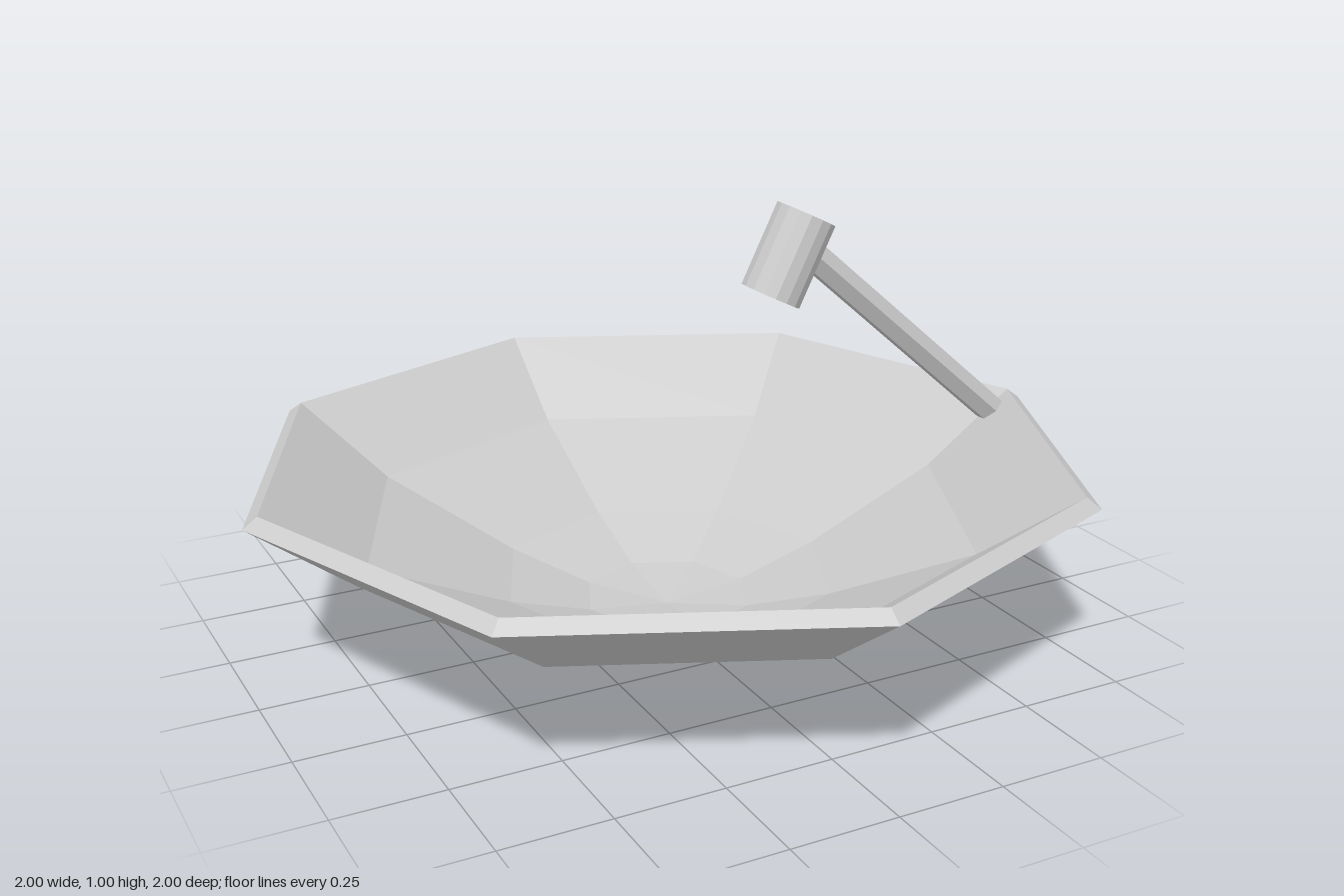
import * as THREE from 'three';

const material = new THREE.MeshStandardMaterial({ color: 0xcccccc, flatShading: true });

// Cylinder whose ends sit on two given points
function rod(name, from, to, radius, sides) {
  const a = new THREE.Vector3(...from), b = new THREE.Vector3(...to);
  const axis = b.clone().sub(a);
  const mesh = new THREE.Mesh(new THREE.CylinderGeometry(radius, radius, axis.length(), sides), material);
  mesh.name = name;
  mesh.position.copy(a).add(b).multiplyScalar(0.5);
  mesh.quaternion.setFromUnitVectors(new THREE.Vector3(0, 1, 0), axis.normalize());
  return mesh;
}

export function createModel() {
  const group = new THREE.Group();
  group.name = 'satelliteDish';

  // Eight-sided bowl: outer skin up, over the bevelled rim, inner skin down
  const profile = [
    [0, 0], [0.21, 0.025], [0.415, 0.09], [0.76, 0.24], [1, 0.418],
    [0.966, 0.443], [0.735, 0.275], [0.4, 0.127], [0.2, 0.066], [0, 0.042],
  ].map(([r, y]) => new THREE.Vector2(r, y));
  const bowl = new THREE.Mesh(new THREE.LatheGeometry(profile, 8, Math.PI / 2 - 0.02), material);
  bowl.name = 'bowl';
  group.add(bowl);

  // Slanted arm from the rim to the receiver, set slightly forward of centre
  const z = 0.032;
  group.add(rod('arm', [0.92, 0.39, z], [0.32, 0.906, z], 0.037, 6));

  // Receiver head tilted at the end of the arm
  group.add(rod('receiver', [0.253, 0.783, z], [0.345, 0.968, z], 0.074, 16));

  return group;
}
